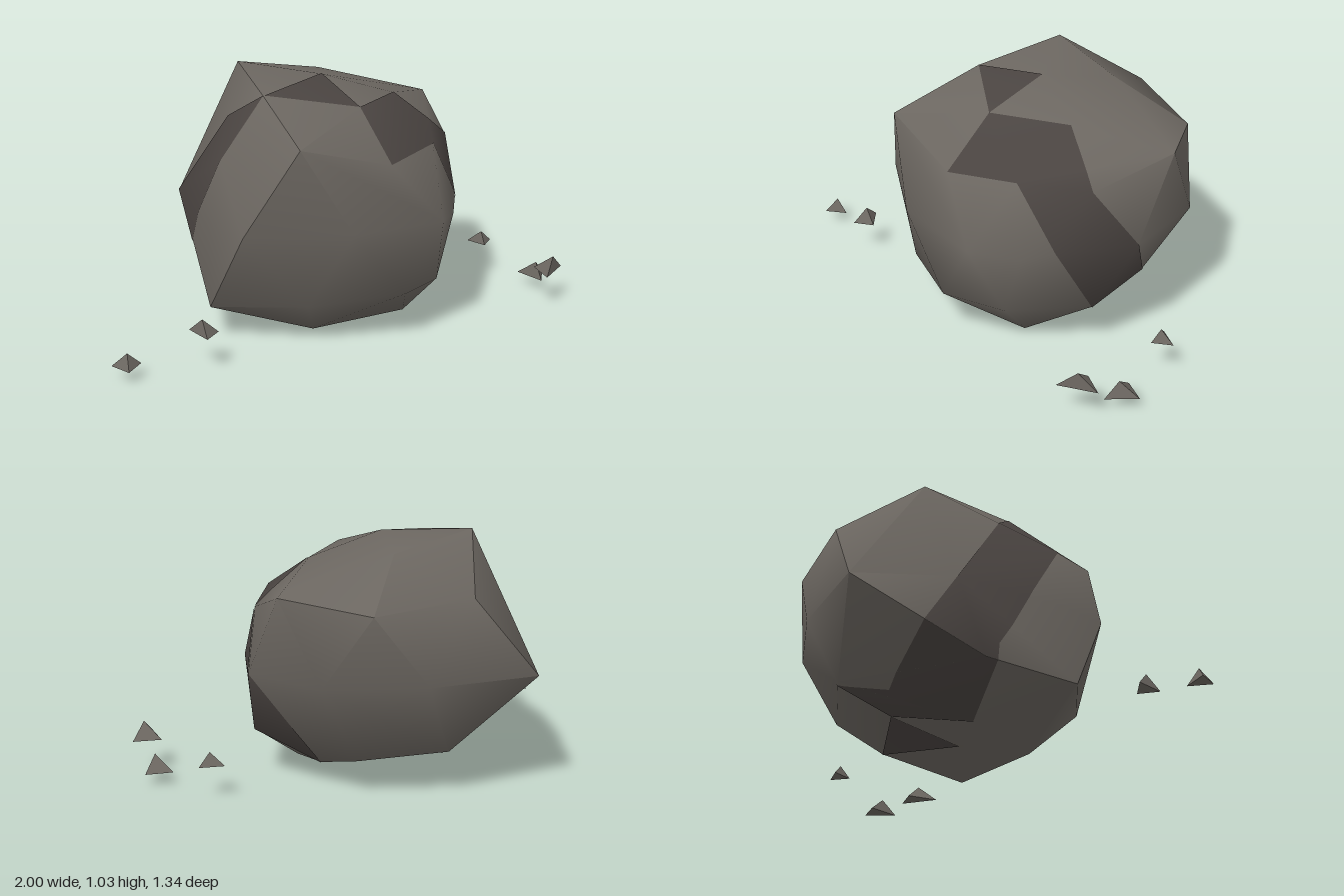
import * as THREE from 'three';
import { ConvexGeometry } from 'three/addons/geometries/ConvexGeometry.js';

const V = (x, y, z) => new THREE.Vector3(x, y, z);
const CENTRE = V(0, 0.5, 0);

// Boulder corners, from the crown down to the foot
const CORNERS = [
  [-0.35, 1.03, -0.28], [-0.03, 1.005, -0.07], [-0.31, 0.965, 0.11], [0.28, 0.91, -0.07], [0.07, 0.92, 0.2],
  [0.02, 0.965, -0.38], [0.51, 0.83, -0.42], [0.19, 0.78, -0.64], [-0.23, 0.82, -0.62], [-0.24, 0.84, 0.51],
  [0.15, 0.73, 0.41], [0.38, 0.75, 0.2], [0.51, 0.72, -0.07], [-0.51, 0.74, 0.24],
  [0.585, 0.49, -0.24], [0.515, 0.48, 0.09], [0.47, 0.45, 0.22], [0.37, 0.48, 0.41], [-0.03, 0.49, 0.535],
  [-0.46, 0.48, 0.45], [-0.56, 0.47, 0.25], [-0.62, 0.49, -0.24], [-0.5, 0.49, -0.64], [-0.03, 0.49, -0.67],
  [0.38, 0.49, -0.57],
  [0.52, 0.2, -0.07], [0.39, 0.18, 0.26], [0.2, 0.2, 0.46], [-0.2, 0.17, 0.45], [-0.57, 0.14, 0.28],
  [-0.56, 0.2, -0.1], [-0.15, 0.187, -0.565], [0.43, 0.275, -0.335], [0.2, 0.15, -0.46], [0.28, 0.08, -0.23],
  [-0.09, 0.1, -0.32], [0.28, 0, 0.13], [-0.14, 0, 0.26], [-0.05, 0.03, -0.01], [-0.25, 0.06, -0.03],
];

// Convex patches that make up the dark vein, each seen from the boulder's centre
const VEIN = [
  [[-0.31, 0.97, 0.11], [-0.03, 1, -0.07], [0.07, 0.92, 0.2]],
  [[0.07, 0.92, 0.2], [0.28, 0.91, -0.07], [0.38, 0.75, 0.2], [0.15, 0.73, 0.41]],
  [[0.28, 0.91, -0.07], [0.51, 0.72, -0.07], [0.515, 0.48, 0.09], [0.38, 0.75, 0.2]],
  [[0.51, 0.72, -0.07], [0.585, 0.49, -0.24], [0.52, 0.2, -0.07], [0.515, 0.48, 0.09]],
  [[0.585, 0.49, -0.24], [0.43, 0.275, -0.335], [0.28, 0.08, -0.23], [0.52, 0.2, -0.07]],
  [[0.28, 0.08, -0.23], [-0.09, 0.1, -0.32], [-0.05, 0.03, -0.01]],
  [[-0.09, 0.1, -0.32], [-0.12, 0.19, -0.56], [-0.23, 0.14, -0.39], [-0.25, 0.06, -0.03]],
  [[-0.23, 0.14, -0.39], [-0.62, 0.49, -0.24], [-0.57, 0.26, -0.05], [-0.25, 0.06, -0.03]],
  [[-0.62, 0.49, -0.24], [-0.6, 0.51, 0.1], [-0.57, 0.26, -0.05]],
  [[-0.31, 0.97, 0.11], [-0.51, 0.74, 0.24], [-0.6, 0.51, 0.1], [-0.62, 0.49, -0.24]],
];

// Loose pebbles: three ground corners (x, z), tip (x, z), base and tip heights
const PEBBLES = [
  [[-1, 0.585], [-0.885, 0.58], [-0.94, 0.665], [-0.94, 0.605], 0.05, 0.105],
  [[-0.685, 0.49], [-0.575, 0.535], [-0.63, 0.61], [-0.64, 0.545], 0.135, 0.195],
  [[0.705, -0.31], [0.81, -0.3], [0.76, -0.225], [0.757, -0.27], 0.135, 0.187],
  [[0.87, -0.08], [0.985, -0.075], [0.935, 0.055], [0.93, -0.01], 0.05, 0.115],
  [[0.88, 0.1], [1, 0.11], [0.89, 0.24], [0.94, 0.17], 0.135, 0.203],
];

// Smooth normals, kept sharp round the split left side and along the top of the back
function smoothRock(geometry) {
  const P = geometry.attributes.position;
  const faces = [];
  for (let i = 0; i < P.count; i += 3) {
    const p = [0, 1, 2].map((k) => V(0, 0, 0).fromBufferAttribute(P, i + k));
    const area = p[1].clone().sub(p[0]).cross(p[2].clone().sub(p[0]));
    const n = area.clone().normalize();
    faces.push({ p, area, n, left: n.x < -0.6, back: n.z < -0.5 });
  }
  const isSmooth = (a, b) => a.left === b.left && a.n.angleTo(b.n) < 1.0
    && (a.back === b.back || a.n.y < 0 || b.n.y < 0);
  const normals = [];
  for (const f of faces) {
    for (const corner of f.p) {
      const sum = V(0, 0, 0);
      for (const o of faces) {
        const touches = o.p.some((q) => q.distanceTo(corner) < 1e-4);
        if (touches && isSmooth(f, o)) sum.add(o.area);
      }
      normals.push(...sum.normalize().toArray());
    }
  }
  geometry.setAttribute('normal', new THREE.Float32BufferAttribute(normals, 3));
  return geometry;
}

// Keep the part of a polygon on the positive side of a plane through the centre
function clip(poly, n) {
  const out = [];
  poly.forEach((a, i) => {
    const b = poly[(i + 1) % poly.length];
    const da = n.dot(a.p.clone().sub(CENTRE)), db = n.dot(b.p.clone().sub(CENTRE));
    if (da >= 0) out.push(a);
    if (da * db < 0) {
      const t = da / (da - db);
      out.push({ p: a.p.clone().lerp(b.p, t), n: a.n.clone().lerp(b.n, t).normalize() });
    }
  });
  return out;
}

// Cut a patch out of the boulder surface and lift it slightly
function patchGeometry(source, outline) {
  const rays = outline.map((c) => V(...c).sub(CENTRE));
  const middle = rays.reduce((s, r) => s.add(r), V(0, 0, 0));
  const planes = rays.map((r, i) => {
    const n = r.clone().cross(rays[(i + 1) % rays.length]).normalize();
    return n.dot(middle) < 0 ? n.negate() : n;
  });
  const P = source.attributes.position, N = source.attributes.normal;
  const pos = [], nor = [];
  for (let i = 0; i < P.count; i += 3) {
    let poly = [0, 1, 2].map((k) => ({
      p: V(0, 0, 0).fromBufferAttribute(P, i + k), n: V(0, 0, 0).fromBufferAttribute(N, i + k),
    }));
    for (const n of planes) poly = clip(poly, n);
    for (let k = 1; k + 1 < poly.length; k++) {
      for (const v of [poly[0], poly[k], poly[k + 1]]) {
        pos.push(...v.p.clone().addScaledVector(v.n, 0.003).toArray());
        nor.push(...v.n.toArray());
      }
    }
  }
  const g = new THREE.BufferGeometry();
  g.setAttribute('position', new THREE.Float32BufferAttribute(pos, 3));
  g.setAttribute('normal', new THREE.Float32BufferAttribute(nor, 3));
  return g;
}

export function createModel() {
  const stone = new THREE.MeshStandardMaterial({ color: 0x6b6660 });
  stone.name = 'stone';
  const darkStone = new THREE.MeshStandardMaterial({ color: 0x4a4441 });
  darkStone.name = 'darkStone';

  const model = new THREE.Group();
  model.name = 'boulderWithPebbles';
  const add = (parent, name, geometry, material) => {
    const mesh = new THREE.Mesh(geometry, material);
    mesh.name = name;
    parent.add(mesh);
  };

  // Boulder
  const rock = smoothRock(new ConvexGeometry(CORNERS.map((c) => V(...c))));
  add(model, 'boulder', rock, stone);

  // Dark vein wrapping around the boulder
  const vein = new THREE.Group();
  vein.name = 'darkVein';
  VEIN.forEach((outline, i) => add(vein, `veinPatch${i + 1}`, patchGeometry(rock, outline), darkStone));
  model.add(vein);

  // Three-sided pebbles
  PEBBLES.forEach(([a, b, c, tip, base, top], i) => {
    const points = [a, b, c].map(([x, z]) => V(x, base, z));
    points.push(V(tip[0], top, tip[1]));
    add(model, `pebble${i + 1}`, new ConvexGeometry(points), stone);
  });
  return model;
}
